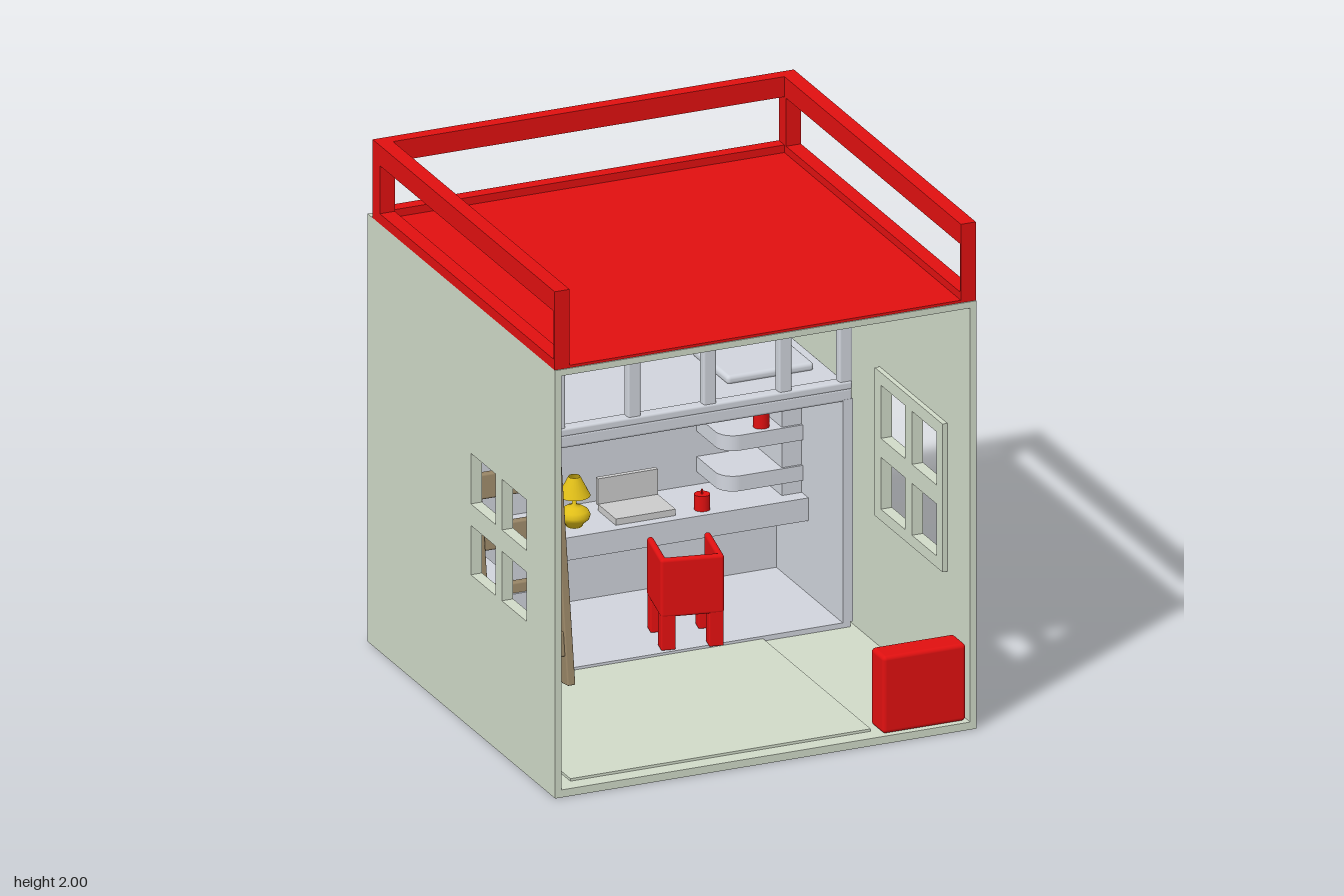
import * as THREE from 'three';
import { RoundedBoxGeometry } from 'three/addons/geometries/RoundedBoxGeometry.js';

const mat = (color) => new THREE.MeshStandardMaterial({ color });
const green = mat(0xd0dac8), red = mat(0xe01010), pale = mat(0xd0d4dc);
const wood = mat(0x988566), yellow = mat(0xe0be18), grey = mat(0xcccccc);

function add(parent, name, geometry, material) {
  const mesh = new THREE.Mesh(geometry, material);
  mesh.name = name;
  parent.add(mesh);
  return mesh;
}

// Box given by its limits on each axis; r > 0 rounds the edges
function box(parent, name, material, [x0, x1], [y0, y1], [z0, z1], r = 0) {
  const s = [x1 - x0, y1 - y0, z1 - z0];
  const geo = r ? new RoundedBoxGeometry(...s, 3, r) : new THREE.BoxGeometry(...s);
  const mesh = add(parent, name, geo, material);
  mesh.position.set((x0 + x1) / 2, (y0 + y1) / 2, (z0 + z1) / 2);
  return mesh;
}

function rect(Type, [u0, u1], [v0, v1]) {
  const p = new Type();
  p.moveTo(u0, v0);
  p.lineTo(u1, v0);
  p.lineTo(u1, v1);
  p.lineTo(u0, v1);
  p.closePath();
  return p;
}

// Flat panel with a window of cols x rows panes
function panel(u, v, cols, rows, depth) {
  const shape = rect(THREE.Shape, u, v);
  for (const c of cols) for (const r of rows) shape.holes.push(rect(THREE.Path, c, r));
  return new THREE.ExtrudeGeometry(shape, { depth, bevelEnabled: false });
}

// Shelf with a rounded left front corner
function shelf(parent, name, [x0, x1], [y0, y1], [z0, z1], r) {
  const s = new THREE.Shape();
  s.moveTo(x0, -z0);
  s.lineTo(x0, -z1 + r);
  s.absarc(x0 + r, -z1 + r, r, Math.PI, Math.PI * 1.5, false);
  s.lineTo(x1, -z1);
  s.lineTo(x1, -z0);
  const geo = new THREE.ExtrudeGeometry(s, { depth: y1 - y0, bevelEnabled: false, curveSegments: 10 });
  geo.rotateX(-Math.PI / 2);
  add(parent, name, geo, pale).position.y = y0;
}

function candle(parent, x, y, z) {
  const g = new THREE.Group();
  g.name = 'candle';
  add(g, 'candleBody', new THREE.CylinderGeometry(0.03, 0.03, 0.06, 20), red).position.y = 0.03;
  add(g, 'wick', new THREE.CylinderGeometry(0.004, 0.004, 0.02, 8), red).position.y = 0.068;
  g.position.set(x, y, z);
  parent.add(g);
}

function group(parent, name) {
  const g = new THREE.Group();
  g.name = name;
  parent.add(g);
  return g;
}

export function createModel() {
  const model = new THREE.Group();
  model.name = 'playRoom';
  const W = 0.845, T = 0.025, H = 1.69, I = W - T;

  // Shell: floor, ceiling, back and side walls, open at the front
  const shell = group(model, 'shell');
  box(shell, 'floor', green, [-I, I], [0, 0.03], [-I, W]);
  box(shell, 'ceiling', green, [-I, I], [H - T, H], [-I, W]);
  box(shell, 'floorPanel', green, [-0.755, 0.45], [0.03, 0.04], [-0.19, 0.78]);
  box(shell, 'ceilingPanel', green, [-0.755, 0.45], [1.645, 1.665], [-0.76, 0.78]);
  box(shell, 'wallPanel', green, [-0.755, -0.035], [1.04, 1.53], [-I, -I + 0.012]);

  const backCols = [[0.12, 0.345], [0.405, 0.63]], backRows = [[1.05, 1.3], [1.355, 1.605]];
  add(shell, 'backWall', panel([-I, I], [0, H], backCols, backRows, T), green).position.z = -W;
  add(shell, 'backWindowFrame', panel([0.065, 0.69], [1.0, 1.655], backCols, backRows, 0.02), green).position.z = -I;

  const sideCols = [[0.085, 0.305], [0.365, 0.585]];
  for (const side of [1, -1]) {
    const dy = side > 0 ? 0 : 0.01;
    const rows = [[0.595 + dy, 0.8], [0.875 + dy, 1.085]];
    const wall = add(shell, side > 0 ? 'leftWall' : 'rightWall', panel([-W, W], [0, H], sideCols, rows, T), green);
    const frame = add(shell, 'sideWindowFrame', panel([0.03, 0.64], [0.55 + dy, 1.135 + dy], sideCols, rows, 0.02), green);
    wall.rotation.y = frame.rotation.y = -Math.PI / 2;
    wall.position.x = side > 0 ? W : -I;
    frame.position.x = side > 0 ? I : -I + 0.02;
  }

  // Roof deck with a railing on three sides
  const roof = group(model, 'roofTerrace');
  const B = -0.8, F = 0.84, R = 0.785;
  box(roof, 'roofDeck', red, [-W, W], [H, 1.7], [B, F]);
  for (const [name, y] of [['curb', [1.7, 1.73]], ['topRail', [1.92, 2]]]) {
    box(roof, name + 'Back', red, [-R, R], y, [B, B + 0.05]);
    for (const x of [[-W, -R], [R, W]]) box(roof, name + 'Side', red, x, y, [B, F]);
  }
  for (const x of [[-W, -R], [R, W]]) {
    box(roof, 'backPost', red, x, [1.73, 1.92], [B, B + 0.065]);
    box(roof, 'frontPost', red, x, [1.73, 1.92], [F - 0.01, F]);
  }

  // Loft unit: base, back, ends and sleeping deck
  const loft = group(model, 'loftBed');
  const zb = -I + 0.012, zf = -0.19;
  box(loft, 'loftBase', pale, [-0.8, 0.8], [0.03, 0.05], [zb, zf]);
  box(loft, 'loftBack', pale, [-0.8, 0.8], [0.05, 0.93], [zb, zb + 0.02]);
  box(loft, 'loftDeck', pale, [-0.8, 0.81], [0.92, 0.975], [zb, zf], 0.012);
  for (const x of [[-0.81, -0.77], [0.77, 0.81]]) box(loft, 'loftEnd', pale, x, [0.05, 0.93], [zb, zf]);
  box(loft, 'pillow', pale, [0.4, 0.75], [0.97, 1.005], [-0.72, -0.4], 0.015);

  // Guard rail along the front edge, leaving a gap for the ladder
  box(loft, 'railBottom', pale, [-0.39, 0.81], [0.965, 1.0], [zf - 0.05, zf], 0.01);
  box(loft, 'railTop', pale, [-0.39, 0.81], [1.24, 1.265], [zf - 0.05, zf], 0.01);
  for (const x of [-0.365, -0.063, 0.24, 0.543, 0.785]) {
    box(loft, 'railPost', pale, [x - 0.026, x + 0.026], [0.97, 1.25], [zf - 0.045, zf - 0.005], 0.008);
  }
  box(loft, 'endPost', pale, [-0.815, -0.76], [0.93, 1.24], [zf - 0.05, zf], 0.012);

  // Leaning ladder
  const ladder = group(model, 'ladder');
  ladder.position.set(-0.555, 0.05, -0.05);
  ladder.rotation.x = -0.148;
  for (const x of [-0.162, 0.162]) box(ladder, 'ladderSide', wood, [x - 0.016, x + 0.016], [0, 0.875], [-0.03, 0.03], 0.006);
  for (const y of [0.16, 0.375, 0.605, 0.8]) {
    box(ladder, 'ladderStep', wood, [-0.15, 0.15], [y - 0.05, y + 0.045], [-0.02, 0.022], 0.008);
  }

  // Desk under the loft with a side wing, and corner shelves
  const desk = group(model, 'desk');
  shelf(desk, 'deskTop', [-0.31, 0.77], [0.34, 0.43], [zb, -0.5], 0.04);
  box(desk, 'deskWing', pale, [-0.77, -0.545], [0.34, 0.43], [zb, -0.075]);
  for (const y of [0.54, 0.7, 0.88]) shelf(desk, 'cornerShelf', [0.45, 0.77], [y - 0.06, y], [zb, -0.55], 0.07);
  box(desk, 'shelfSide', pale, [0.69, 0.77], [0.43, 0.88], [zb, -0.56]);
  candle(desk, 0.37, 0.43, -0.56);
  candle(desk, 0.625, 0.7, -0.6);

  // Folding computer on the desk
  box(desk, 'computerBase', grey, [0.015, 0.255], [0.43, 0.455], [-0.7, -0.54]);
  box(desk, 'computerScreen', grey, [0.015, 0.255], [0.45, 0.555], [-0.72, -0.7]);

  // Lamp: turned base and neck, open conical shade
  const lamp = group(model, 'lamp');
  lamp.position.set(-0.125, 0.43, -0.6);
  const profile = [[0, 0], [0.03, 0], [0.035, 0.012], [0.055, 0.03], [0.06, 0.045], [0.052, 0.062],
    [0.03, 0.077], [0.009, 0.085], [0.008, 0.13], [0, 0.13]].map(([x, y]) => new THREE.Vector2(x, y));
  add(lamp, 'lampBase', new THREE.LatheGeometry(profile, 24), yellow);
  const shadeMat = mat(0xe0be18);
  shadeMat.side = THREE.DoubleSide;
  add(lamp, 'lampShade', new THREE.CylinderGeometry(0.022, 0.06, 0.075, 24, 1, true), shadeMat).position.y = 0.158;

  // Chair turned towards the desk, its back to the room
  const chair = group(model, 'chair');
  chair.position.set(0.188, 0, -0.3);
  chair.rotation.y = -0.2;
  box(chair, 'chairBack', red, [-0.12, 0.12], [0.18, 0.41], [0.09, 0.12], 0.012);
  box(chair, 'chairSeat', red, [-0.12, 0.12], [0.18, 0.22], [-0.12, 0.12], 0.012);
  for (const s of [-1, 1]) {
    box(chair, 'chairArm', red, s > 0 ? [0.095, 0.12] : [-0.12, -0.095], [0.19, 0.41], [-0.12, 0.12], 0.012);
    for (const z of [-0.09, 0.09]) box(chair, 'chairLeg', red, [s * 0.09 - 0.028, s * 0.09 + 0.028], [0.05, 0.2], [z - 0.028, z + 0.028], 0.006);
  }

  // Toy chest by the open front
  box(model, 'chest', red, [0.478, 0.812], [0.03, 0.335], [0.715, 0.83], 0.016);

  return model;
}
